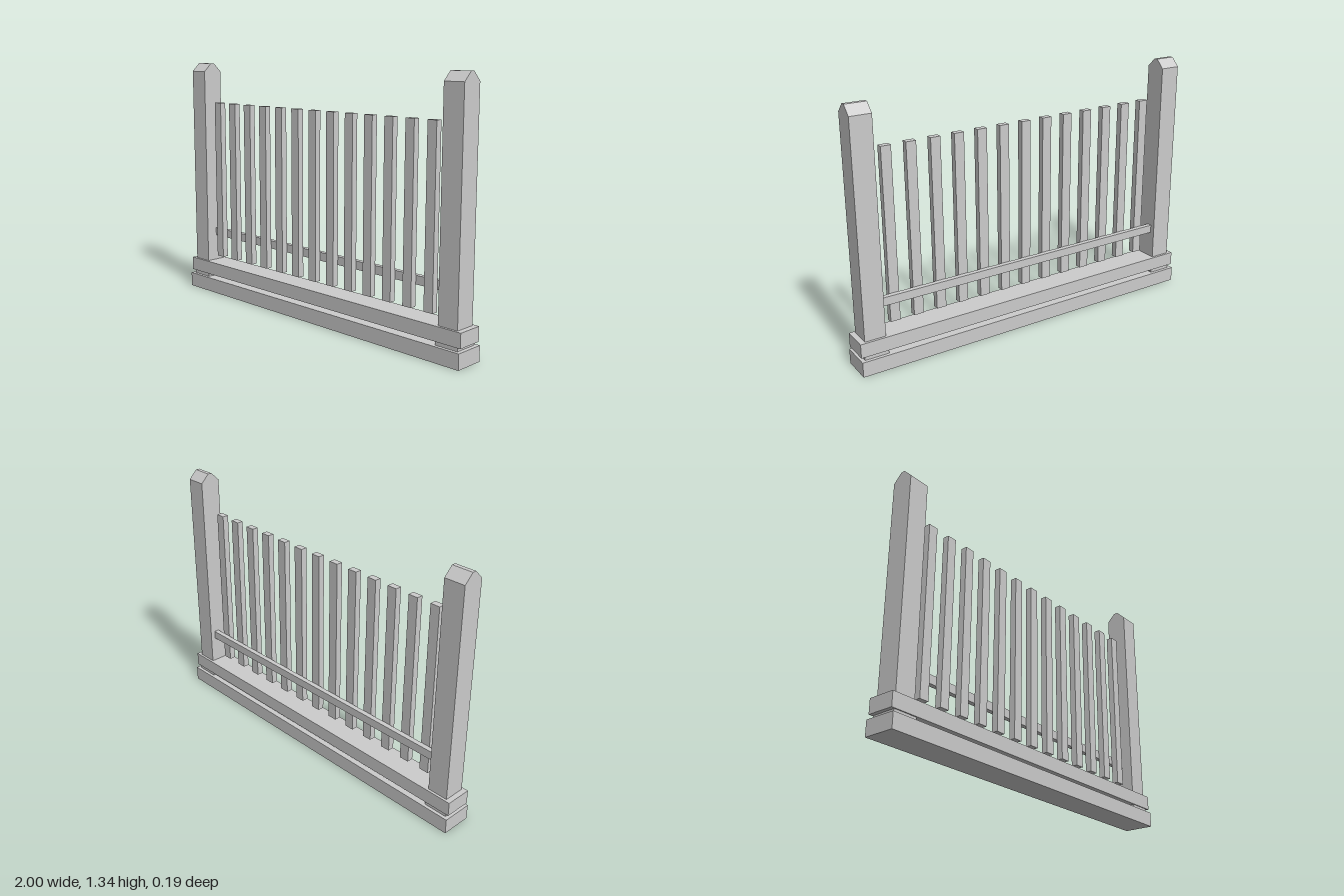
import * as THREE from 'three';

const material = new THREE.MeshStandardMaterial({ color: 0xcccccc, flatShading: true });

// Box given by its width, a y range and a z range
function slab(name, width, y0, y1, z0, z1, x = 0) {
  const mesh = new THREE.Mesh(new THREE.BoxGeometry(width, y1 - y0, z1 - z0), material);
  mesh.position.set(x, (y0 + y1) / 2, (z0 + z1) / 2);
  mesh.name = name;
  return mesh;
}

// Post with a chamfered top, extruded along x from its side profile
function makePost(x) {
  const width = 0.112, half = 0.0575, ridge = 0.011;
  const shape = new THREE.Shape([
    [-half, 0.1], [half, 0.1], [half, 1.297], [ridge, 1.343], [-ridge, 1.343], [-half, 1.297],
  ].map(([z, y]) => new THREE.Vector2(z, y)));
  const geometry = new THREE.ExtrudeGeometry(shape, { depth: width, bevelEnabled: false });
  geometry.translate(0, 0, -width / 2).rotateY(Math.PI / 2);
  const post = new THREE.Mesh(geometry, material);
  post.position.x = x;
  post.name = 'post';
  return post;
}

export function createModel() {
  const fence = new THREE.Group();
  fence.name = 'fence';

  // Stacked base beams, held apart by a foot block under each post
  fence.add(slab('lowerBeam', 1.998, 0, 0.08, -0.082, 0.082));
  fence.add(slab('upperBeam', 1.998, 0.1, 0.175, -0.071, 0.071));
  for (const side of [-1, 1]) {
    fence.add(slab('postFoot', 0.128, 0.08, 0.1, -0.064, 0.064, side * 0.914));
    fence.add(makePost(side * 0.915));
  }

  // Rail behind the pickets
  fence.add(slab('rail', 1.72, 0.323, 0.368, -0.031, -0.004));

  // Row of pickets
  const count = 13, step = 0.1297;
  for (let i = 0; i < count; i++) {
    const x = (i - (count - 1) / 2) * step;
    fence.add(slab('picket', 0.053, 0.212, 1.12, -0.004, 0.03, x));
  }

  // The whole fence stands at a very slight angle
  fence.rotation.y = 0.014;
  const model = new THREE.Group();
  model.add(fence);
  return model;
}
